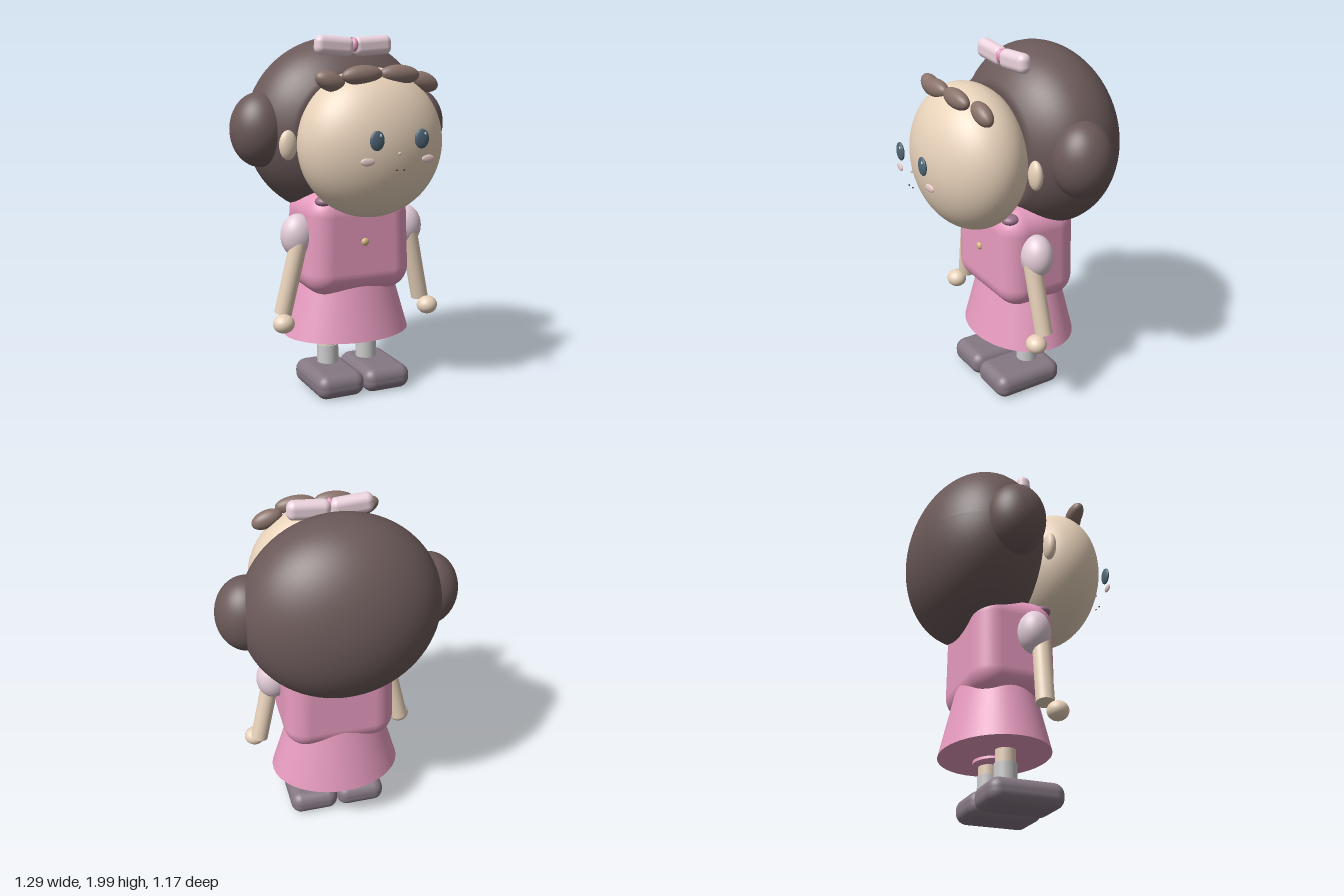
import * as THREE from 'three';
import { RoundedBoxGeometry } from 'three/addons/geometries/RoundedBoxGeometry.js';

const COLORS = {
  hair: 0x6b5959, fringe: 0x8a736b, skin: 0xe8d2ba, pink: 0xe89cc0, paleMauve: 0xe3cdd8,
  collar: 0x9a7088, bow: 0xecd3dd, sock: 0xd2ced2, shoe: 0x857884, eye: 0x4f6676,
  cheek: 0xe8ccc8, button: 0xd6b982, shine: 0xd8e0e4, mark: 0x4a3c3c,
};
const materials = {};
for (const key in COLORS) {
  materials[key] = new THREE.MeshStandardMaterial({ color: COLORS[key], side: THREE.DoubleSide });
}

export function createModel() {
  const model = new THREE.Group();
  model.name = 'doll';

  function add(name, geometry, color, position, rotation = [0, 0, 0]) {
    const mesh = new THREE.Mesh(geometry, materials[color]);
    mesh.name = name;
    mesh.position.set(...position);
    mesh.rotation.set(...rotation);
    model.add(mesh);
    return mesh;
  }
  function ball(name, color, position, radii, rotation, segments = 40) {
    const geometry = new THREE.SphereGeometry(1, segments, Math.ceil(segments * 0.65));
    geometry.scale(...radii);
    return add(name, geometry, color, position, rotation);
  }
  function tube(name, color, from, to, radius) {
    const a = new THREE.Vector3(...from), b = new THREE.Vector3(...to);
    const axis = b.clone().sub(a);
    const geometry = new THREE.CylinderGeometry(radius, radius, axis.length(), 32);
    const mesh = add(name, geometry, color, a.clone().add(b).multiplyScalar(0.5).toArray());
    mesh.quaternion.setFromUnitVectors(new THREE.Vector3(0, 1, 0), axis.normalize());
  }

  // Big hair: ellipsoid sliced flat where it meets the face
  const hair = new THREE.SphereGeometry(1, 72, 64);
  hair.rotateX(Math.PI / 2);
  const hp = hair.attributes.position;
  for (let i = 0; i < hp.count; i++) hp.setZ(i, Math.min(hp.getZ(i), 0.745));
  hair.scale(0.53, 0.505, 0.375);
  hair.computeVertexNormals();
  add('hair', hair, 'hair', [0, 1.485, -0.212], [0.06, 0, 0]);

  // Head
  ball('head', 'skin', [0, 1.435, 0.24], [0.405, 0.397, 0.28], undefined, 64);
  ball('nose', 'cheek', [0, 1.415, 0.573], [0.009, 0.008, 0.005], undefined, 12);

  // Fringe
  ball('fringeSide', 'fringe', [-0.26, 1.765, 0.31], [0.088, 0.05, 0.045], [0, 0, -0.35]);
  ball('fringeSide', 'fringe', [0.275, 1.755, 0.31], [0.088, 0.05, 0.045], [0, 0, -0.35]);

  // Body: rounded box, slightly narrower at the shoulders
  const body = new RoundedBoxGeometry(0.63, 0.58, 0.465, 10, 0.13);
  const bp = body.attributes.position;
  for (let i = 0; i < bp.count; i++) {
    const t = THREE.MathUtils.smoothstep(bp.getY(i), -0.05, 0.29);
    bp.setX(i, bp.getX(i) * (1 - 0.06 * t));
  }
  add('body', body, 'pink', [0, 0.87, -0.057]);
  ball('button', 'button', [0, 0.885, 0.178], [0.022, 0.022, 0.015], undefined, 20);

  // Skirt
  const skirt = new THREE.CylinderGeometry(0.26, 0.372, 0.38, 64);
  skirt.scale(1, 1, 0.785);
  add('skirt', skirt, 'pink', [0, 0.513, -0.08]);
  add('underskirt', new THREE.CylinderGeometry(0.11, 0.12, 0.06, 40), 'pink',
    [0.088, 0.332, -0.045], [0, 0, -0.06]);

  // Mirrored parts: s = -1 right, +1 left
  for (const s of [-1, 1]) {
    ball('hairBun', 'hair', [s * 0.48, 1.49, -0.155], [0.165, 0.205, 0.164], undefined, 48);
    ball('ear', 'skin', [s * 0.405, 1.425, 0.078], [0.05, 0.08, 0.033]);
    ball('fringeFront', 'fringe', [s * 0.107, 1.797, 0.36], [0.113, 0.05, 0.044], [0, 0, s * -0.05]);

    // Face details
    ball('eye', 'eye', [s * 0.125, 1.485, 0.572], [0.04, 0.05, 0.014], undefined, 28);
    ball('eyeShine', 'shine', [s * 0.125 + 0.014, 1.51, 0.581], [0.008, 0.009, 0.004], undefined, 12);
    ball('cheek', 'cheek', [s * 0.17, 1.38, 0.558], [0.038, 0.02, 0.008], [0, s * 0.1, 0], 24);
    ball('mouthDot', 'mark', [s * 0.021, 1.334, 0.58], [0.007, 0.004, 0.004], undefined, 12);

    // Bow lobe
    add('bowLobe', new RoundedBoxGeometry(0.228, 0.105, 0.078, 6, 0.038), 'bow',
      [s * 0.112, 1.94, 0.018], [0, 0, s * 0.07]);

    // Collar, sleeve, arm and hand
    ball('collar', 'collar', [s * 0.215, 1.115, 0.11], [0.05, 0.03, 0.05]);
    ball('sleeve', 'paleMauve', [s * 0.33, 0.92, 0.012], [0.097, 0.12, 0.088]);
    tube('arm', 'skin', [s * 0.338, 0.89, 0.048], [s * 0.428, 0.49, 0.025], 0.049);
    ball('hand', 'skin', [s * 0.446, 0.45, 0.085], [0.06, 0.052, 0.057]);

    // Leg, sock and shoe
    tube('leg', 'skin', [s * 0.122, 0.1, -0.065], [s * 0.122, 0.36, -0.065], 0.055);
    tube('sock', 'sock', [s * 0.122, 0.1, -0.065], [s * 0.122, 0.25, -0.065], 0.061);
    add('shoe', new RoundedBoxGeometry(0.283, 0.138, 0.415, 8, 0.06), 'shoe', [s * 0.142, 0.074, 0.003]);
  }
  ball('bowKnot', 'pink', [0, 1.945, 0.032], [0.022, 0.038, 0.03], undefined, 24);

  return model;
}
